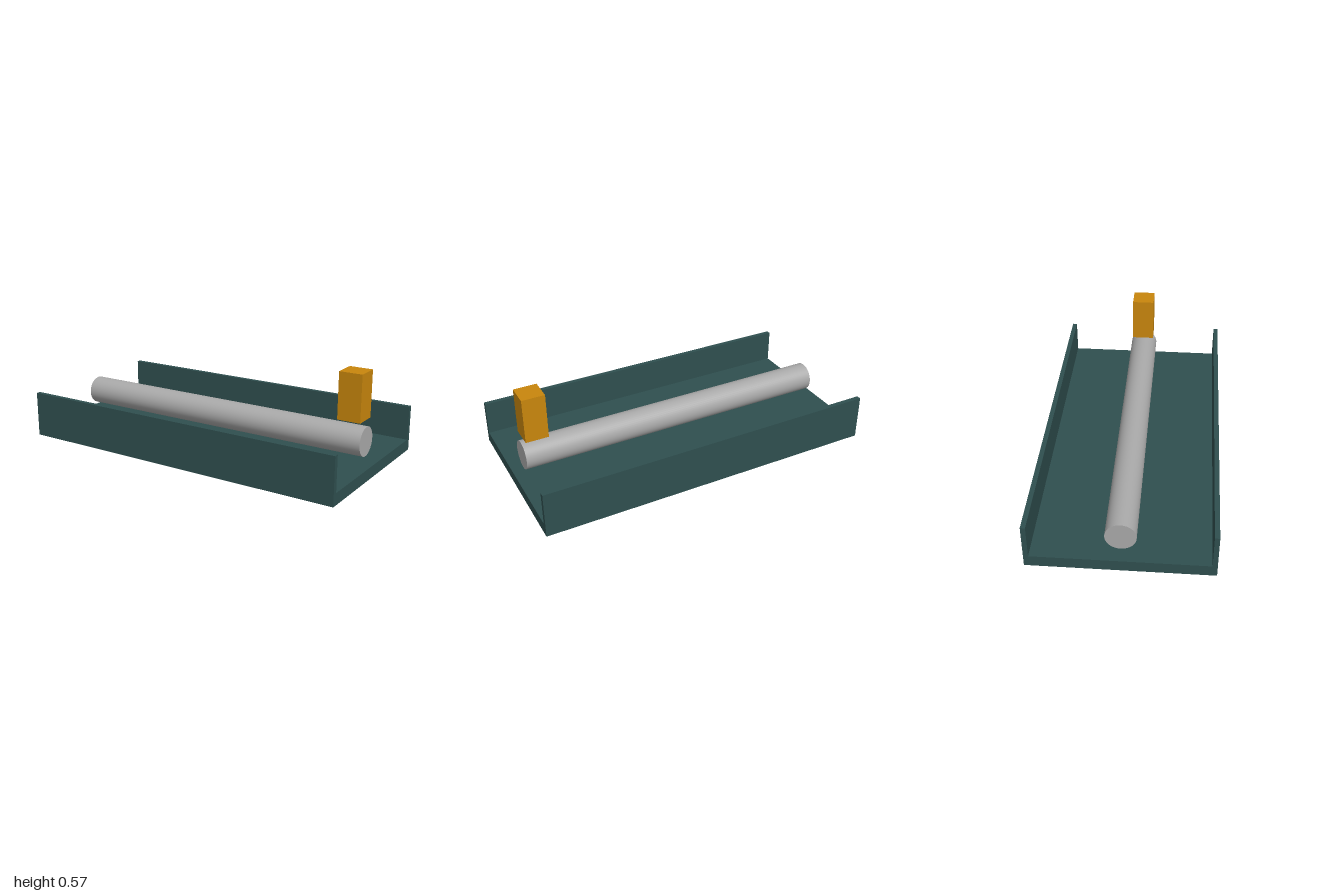
import * as THREE from 'three';

const slate = new THREE.MeshStandardMaterial({ name: 'dark slate', color: 0x2f4f4f });
const steel = new THREE.MeshStandardMaterial({ name: 'light grey', color: 0xa9a9a9 });
const amber = new THREE.MeshStandardMaterial({ name: 'amber', color: 0xc8860d });

export function createModel() {
  const model = new THREE.Group();
  model.name = 'rodTray';

  function add(name, geometry, material, x, y, z) {
    const mesh = new THREE.Mesh(geometry, material);
    mesh.name = name;
    mesh.position.set(x, y, z);
    model.add(mesh);
    return mesh;
  }

  // Open-ended tray: floor slab with a thin wall along each long side
  const floorHeight = 0.0667, wallHeight = 0.2, wallThickness = 0.0267;
  add('trayFloor', new THREE.BoxGeometry(2, floorHeight, 1), slate, 0, floorHeight / 2, 0);
  for (const [name, side] of [['frontWall', 1], ['backWall', -1]]) {
    add(name, new THREE.BoxGeometry(2, wallHeight, wallThickness), slate,
      0, floorHeight + wallHeight / 2, side * (0.5 - wallThickness / 2));
  }

  // Round rod running lengthwise above the floor
  const rod = add('rod', new THREE.CylinderGeometry(0.0833, 0.0833, 1.887, 48), steel, 0, 0.1833, 0);
  rod.rotation.z = Math.PI / 2;

  // Upright block hovering over the left end of the rod
  add('block', new THREE.BoxGeometry(0.1333, 0.2667, 0.1333), amber, 0.8667, 0.4333, 0);

  return model;
}
